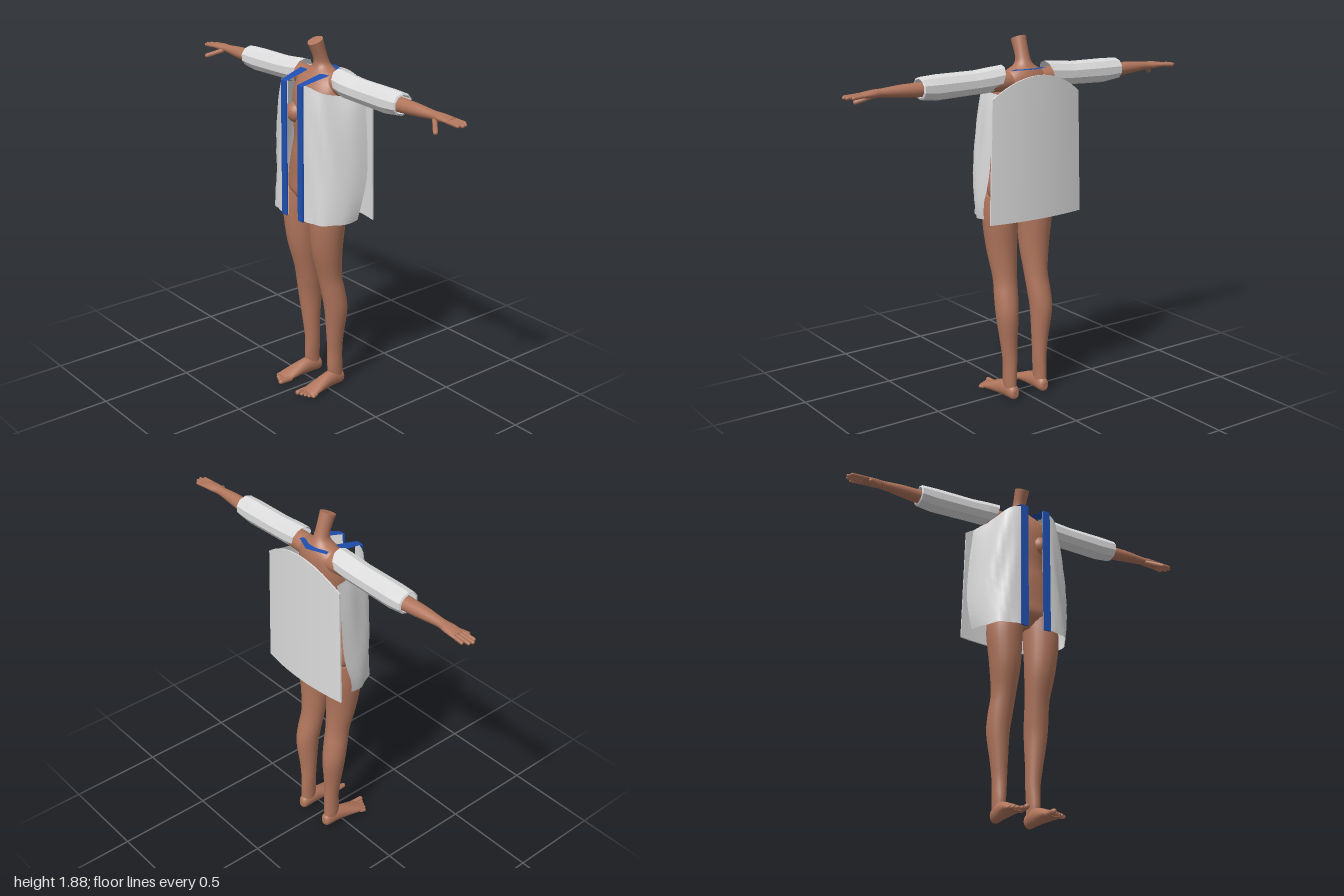
import * as THREE from 'three';

const skin = new THREE.MeshStandardMaterial({ color: 0xb0755c });
skin.name = 'skin';
const cloth = new THREE.MeshStandardMaterial({ color: 0xdcdcdc, side: THREE.DoubleSide });
cloth.name = 'white cloth';
const trim = new THREE.MeshStandardMaterial({ color: 0x1f4fb0, side: THREE.DoubleSide });
trim.name = 'blue trim';

// Smooth curve through rows of numbers, n steps between neighbours
function spline(rows, n) {
  const out = [];
  const at = (i) => rows[Math.max(0, Math.min(rows.length - 1, i))];
  for (let i = 0; i < rows.length - 1; i++) {
    for (let k = 0; k < n; k++) {
      const t = k / n;
      out.push(rows[i].map((p1, c) => {
        const p0 = at(i - 1)[c], p2 = at(i + 1)[c], p3 = at(i + 2)[c];
        return p1 + 0.5 * t * (p2 - p0 + t * (2 * p0 - 5 * p1 + 4 * p2 - p3 + t * (3 * (p1 - p2) + p3 - p0)));
      }));
    }
  }
  out.push(rows[rows.length - 1]);
  return out;
}

function build(pos, index) {
  const g = new THREE.BufferGeometry();
  g.setAttribute('position', new THREE.Float32BufferAttribute(pos, 3));
  g.setIndex(index);
  g.computeVertexNormals();
  return g;
}

// Elliptical rings [t, a, b, radiusA, radiusB, tilt] along an axis:
// y uses (z, x), x uses (y, z), z uses (x, y)
function loft(axis, keys, { steps = 4, sides = 24, caps = true } = {}) {
  const rings = spline(keys.map((k) => [...k, 0].slice(0, 6)), steps);
  const order = { x: [0, 1, 2], y: [2, 0, 1], z: [1, 2, 0] }[axis];
  const pos = [], index = [];
  const put = (t, a, b) => { const v = [t, a, b]; pos.push(v[order[0]], v[order[1]], v[order[2]]); };
  const ring = ([t, a, b, ra, rb, tilt]) => {
    for (let j = 0; j < sides; j++) {
      const w = (j / sides) * Math.PI * 2;
      put(t + tilt * Math.cos(w), a + ra * Math.cos(w), b + rb * Math.sin(w));
    }
  };
  rings.forEach(ring);
  for (let i = 0; i < rings.length - 1; i++) {
    for (let j = 0; j < sides; j++) {
      const a = i * sides + j, b = i * sides + (j + 1) % sides;
      index.push(a, b, b + sides, a, b + sides, a + sides);
    }
  }
  if (caps) {
    [rings[0], rings[rings.length - 1]].forEach((r, end) => {
      const base = pos.length / 3;
      ring(r);
      put(r[0], r[1], r[2]);
      for (let j = 0; j < sides; j++) {
        const a = base + j, b = base + (j + 1) % sides;
        if (end) index.push(a, b, base + sides); else index.push(b, a, base + sides);
      }
    });
  }
  return build(pos, index);
}

// Open sheet from rows of flattened points
function sheet(rows) {
  const cols = rows[0].length / 3, index = [];
  for (let i = 0; i < rows.length - 1; i++) {
    for (let j = 0; j < cols - 1; j++) {
      const a = i * cols + j, b = a + cols;
      index.push(a, a + 1, b + 1, a, b + 1, b);
    }
  }
  return build(rows.flat(), index);
}

// Rounded digit between two points
function digit(from, to, r) {
  const a = new THREE.Vector3(...from), b = new THREE.Vector3(...to);
  const dir = b.clone().sub(a);
  const g = new THREE.CapsuleGeometry(r, dir.length(), 4, 10);
  g.applyQuaternion(new THREE.Quaternion().setFromUnitVectors(new THREE.Vector3(0, 1, 0), dir.normalize()));
  return g.translate(...a.add(b).multiplyScalar(0.5).toArray());
}

function mirrored(g) {
  const m = g.clone().scale(-1, 1, 1);
  const ix = m.index.array;
  for (let i = 0; i < ix.length; i += 3) [ix[i], ix[i + 1]] = [ix[i + 1], ix[i]];
  return m;
}

function faceted(g) {
  const f = g.toNonIndexed();
  f.computeVertexNormals();
  return f;
}

export function createModel() {
  const model = new THREE.Group();
  model.name = 'figureInOpenCoat';
  const add = (name, geo, mat) => {
    const mesh = new THREE.Mesh(geo, mat);
    mesh.name = name;
    model.add(mesh);
  };
  const pair = (name, geo, mat, flat = false) => {
    const other = mirrored(geo);
    add(name + 'Left', flat ? faceted(geo) : geo, mat);
    add(name + 'Right', flat ? faceted(other) : other, mat);
  };

  // Torso and neck, with a slanted neck top
  add('torso', loft('y', [
    [1.02, -0.01, 0, 0.05, 0.1], [1.08, -0.01, 0, 0.105, 0.175], [1.16, -0.012, 0, 0.108, 0.185],
    [1.28, 0, 0, 0.095, 0.15], [1.38, 0, 0, 0.085, 0.13], [1.5, -0.01, 0, 0.1, 0.145],
    [1.6, -0.02, 0, 0.1, 0.155], [1.67, -0.035, 0, 0.085, 0.14], [1.71, -0.045, 0, 0.062, 0.1],
    [1.74, -0.045, 0, 0.045, 0.05], [1.78, -0.035, 0, 0.037, 0.036], [1.866, -0.002, 0, 0.038, 0.038, -0.016],
  ], { sides: 32 }), skin);
  pair('chest', new THREE.SphereGeometry(0.055, 20, 14).translate(0.072, 1.5, 0.055), skin);
  pair('buttock', new THREE.SphereGeometry(0.075, 20, 14).scale(1, 1.15, 1).translate(0.08, 1.13, -0.058), skin);

  // Legs
  pair('leg', loft('y', [
    [0.04, -0.065, 0.096, 0.04, 0.03], [0.1, -0.06, 0.097, 0.045, 0.032], [0.2, -0.06, 0.095, 0.043, 0.036],
    [0.3, -0.057, 0.1, 0.048, 0.043], [0.45, -0.055, 0.108, 0.063, 0.057], [0.55, -0.04, 0.104, 0.064, 0.062],
    [0.65, -0.02, 0.098, 0.065, 0.063], [0.8, 0.002, 0.102, 0.082, 0.079], [0.97, 0.005, 0.108, 0.095, 0.092],
    [1.08, 0, 0.1, 0.095, 0.09],
  ]), skin);

  // Feet and toes
  pair('foot', loft('z', [
    [-0.115, 0.095, 0.034, 0.014, 0.02], [-0.1, 0.095, 0.038, 0.029, 0.037], [-0.05, 0.097, 0.046, 0.034, 0.045],
    [0, 0.1, 0.042, 0.037, 0.041], [0.06, 0.105, 0.031, 0.044, 0.03], [0.11, 0.108, 0.02, 0.049, 0.019],
    [0.14, 0.107, 0.014, 0.046, 0.012],
  ]), skin);
  for (let i = 0; i < 5; i++) {
    const x = 0.071 + i * 0.02, r = i ? 0.0095 : 0.014;
    pair('toe' + (i + 1), digit([x, 0.016, 0.11], [x + 0.003, r + 0.002, 0.172 - i * 0.009 - (i === 4 ? 0.006 : 0)], r), skin);
  }

  // Arms, palms and fingers
  pair('arm', loft('x', [
    [0.08, 1.66, -0.045, 0.05, 0.055], [0.2, 1.666, -0.045, 0.05, 0.05], [0.4, 1.665, -0.045, 0.041, 0.042],
    [0.6, 1.665, -0.043, 0.035, 0.038], [0.7, 1.667, -0.04, 0.03, 0.033], [0.8, 1.668, -0.04, 0.021, 0.025],
    [0.85, 1.668, -0.042, 0.019, 0.033], [0.9, 1.667, -0.044, 0.013, 0.037], [0.915, 1.666, -0.044, 0.01, 0.035],
  ]), skin);
  [[-0.074, 0.962], [-0.055, 0.985], [-0.035, 0.991], [-0.016, 0.978]].forEach(([z, tip], i) => {
    pair('finger' + (i + 1), digit([0.895, 1.667, z * 0.9 - 0.003], [tip, 1.662, z], 0.009), skin);
  });
  pair('thumb', digit([0.83, 1.655, -0.02], [0.895, 1.624, 0.036], 0.012), skin);

  // Sleeves: faceted open tubes
  pair('sleeve', loft('x', [
    [0.15, 1.683, -0.043, 0.063, 0.06, -0.02], [0.21, 1.676, -0.04, 0.063, 0.063], [0.3, 1.671, -0.04, 0.06, 0.062],
    [0.51, 1.667, -0.04, 0.063, 0.062], [0.595, 1.67, -0.04, 0.055, 0.06], [0.6, 1.67, -0.04, 0.046, 0.05],
  ], { steps: 1, sides: 10, caps: false }), cloth, true);

  // Front coat panels wrapping round the sides, with soft folds
  const panelRows = [
    [[0.045, 0.98, 0.135], [0.13, 0.98, 0.132], [0.205, 0.98, 0.09], [0.25, 0.98, 0.01], [0.255, 0.99, -0.07]],
    [[0.045, 1.2, 0.135], [0.135, 1.2, 0.125], [0.215, 1.2, 0.075], [0.262, 1.2, -0.02], [0.268, 1.2, -0.115]],
    [[0.045, 1.4, 0.135], [0.13, 1.4, 0.125], [0.205, 1.4, 0.07], [0.245, 1.4, -0.03], [0.252, 1.4, -0.128]],
    [[0.045, 1.56, 0.133], [0.125, 1.56, 0.122], [0.185, 1.55, 0.065], [0.225, 1.54, -0.04], [0.232, 1.54, -0.135]],
    [[0.045, 1.68, 0.13], [0.115, 1.67, 0.115], [0.165, 1.64, 0.06], [0.205, 1.62, -0.045], [0.22, 1.62, -0.14]],
  ].map((row) => spline(row, 4).flat());
  const panel = sheet(spline(panelRows, 4));
  const p = panel.attributes.position;
  for (let i = 0; i < p.count; i++) {
    const x = p.getX(i), y = p.getY(i);
    const fold = 0.006 * Math.min(1, Math.max(0, (x - 0.09) * 12)) * Math.sin(x * 70 + y * 14);
    p.setXYZ(i, x + fold, y, p.getZ(i) + fold);
  }
  panel.computeVertexNormals();
  pair('coatFront', panel, cloth);

  // Back coat panel: thin curved plate with an arched top
  const back = new THREE.BoxGeometry(2, 1, 0.008, 20, 4, 1);
  const q = back.attributes.position;
  for (let i = 0; i < q.count; i++) {
    const u = q.getX(i), v = q.getY(i) + 0.5;
    q.setXYZ(i, u * (0.277 - 0.017 * v), 0.978 + v * (0.722 - 0.1 * u * u), q.getZ(i) - 0.181 + 0.028 * u * u);
  }
  back.computeVertexNormals();
  add('coatBack', back, cloth);

  // Blue edging: front bands, shoulder collar and back collar
  pair('frontBand', new THREE.BoxGeometry(0.04, 0.7, 0.008).translate(0.065, 1.325, 0.141), trim);
  pair('shoulderCollar', sheet([
    [0.045, 1.675, 0.145, 0.085, 1.675, 0.145],
    [0.047, 1.695, 0.07, 0.1, 1.695, 0.07],
    [0.05, 1.712, 0, 0.112, 1.712, 0],
  ]), trim);
  pair('backCollar', sheet([
    [0, 1.722, -0.14, 0, 1.722, -0.1],
    [0.1, 1.718, -0.095, 0.09, 1.72, -0.075],
  ]), trim);

  return model;
}
